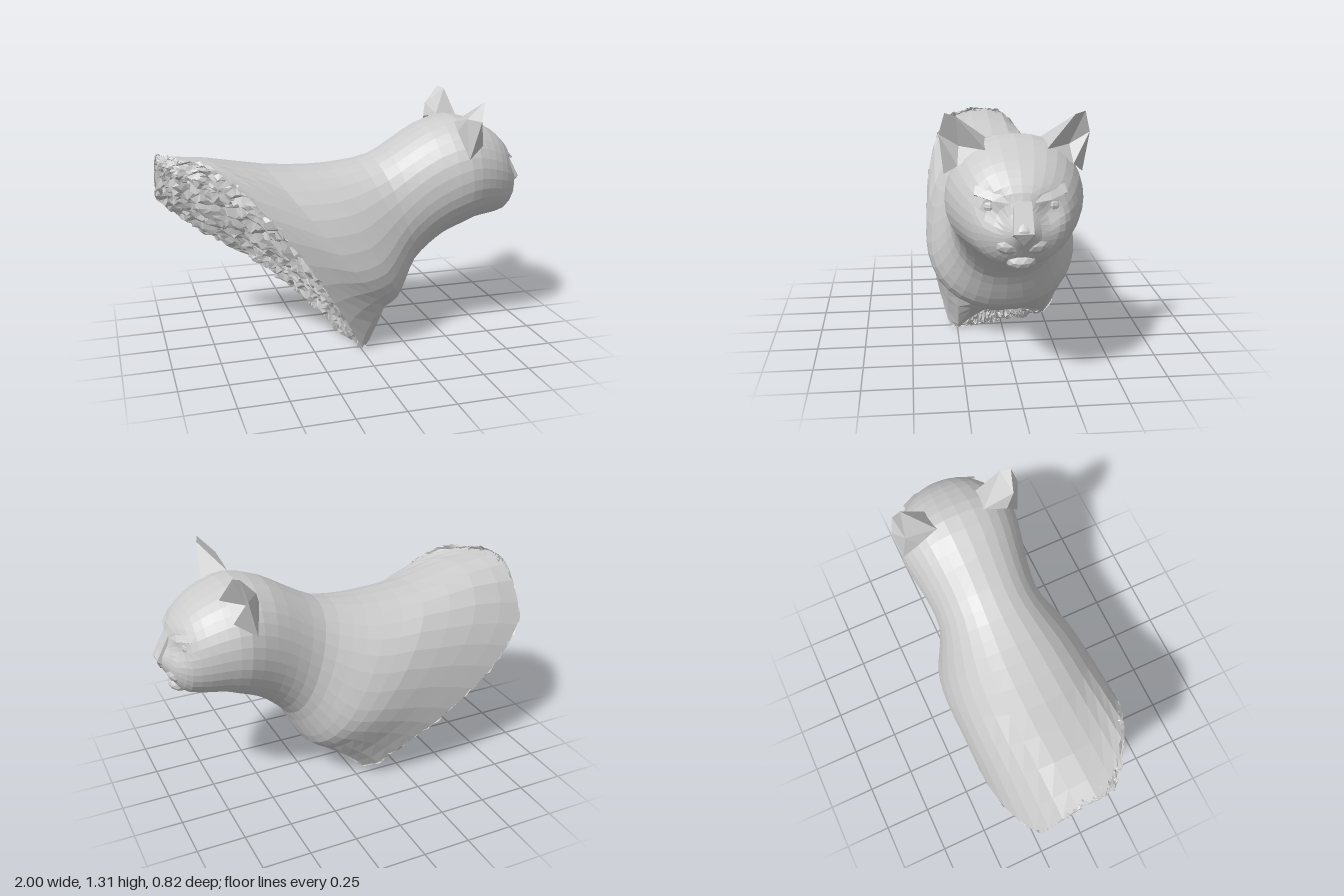
import * as THREE from 'three';

const mat = new THREE.MeshStandardMaterial({ color: 0xcccccc, flatShading: true, side: THREE.DoubleSide });

// Stations from nose to torn edge: top x,y, bottom x,y, half width, level of widest point, tear weight
const stations = [
  [0.998, 0.85, 0.99, 0.81, 0.03, 0.5, 0],
  [0.945, 0.925, 0.95, 0.745, 0.085, 0.6, 0],
  [0.915, 1.0, 0.915, 0.69, 0.17, 0.5, 0],
  [0.87, 1.06, 0.87, 0.65, 0.225, 0.5, 0],
  [0.8, 1.12, 0.78, 0.635, 0.275, 0.5, 0],
  [0.7, 1.17, 0.7, 0.625, 0.31, 0.5, 0],
  [0.58, 1.2, 0.62, 0.595, 0.33, 0.5, 0],
  [0.42, 1.16, 0.52, 0.55, 0.31, 0.52, 0],
  [0.28, 1.08, 0.43, 0.48, 0.29, 0.52, 0],
  [0.13, 1.0, 0.35, 0.4, 0.29, 0.55, 0],
  [-0.03, 0.97, 0.3, 0.3, 0.335, 0.58, 0],
  [-0.2, 0.96, 0.25, 0.21, 0.385, 0.6, 0],
  [-0.45, 0.975, 0.18, 0.16, 0.41, 0.6, 0],
  [-0.75, 1.035, 0.1, 0.12, 0.405, 0.6, 0.45],
  [-1, 1.06, 0, 0.08, 0.4, 0.6, 1],
];

// Seeded value in -1..1
const noise = (i, j, k) => {
  const v = Math.sin(i * 12.99 + j * 78.23 + k * 37.72) * 43758.55;
  return (v - Math.floor(v)) * 2 - 1;
};
const bump = (d, r) => Math.exp(-(d * d) / (r * r));

// Point on the section of a station at angle a (0 is the spine, PI the chest)
function sectionPoint([tx, ty, bx, by, w, tm, tear], a) {
  const c = Math.cos(a), s = Math.sin(a);
  const t = c > 0 ? tm * (1 - c) : tm - (1 - tm) * c;
  const z = w * Math.sign(s) * Math.pow(Math.abs(s), 0.85);
  let x = tx + (bx - tx) * t, y = ty + (by - ty) * t;
  // the tear runs further back on one flank
  const skew = Math.sin(Math.PI * Math.sqrt(t)) * (s > 0 ? 0.17 : -0.21) * Math.min(1, Math.abs(s) * 1.6) * tear * 0.7;
  x += skew;
  y += skew;
  // stumps of the forelegs
  if (t > 0.65) {
    const leg = bump(Math.abs(z) - 0.27, 0.09) * tear;
    x += leg * (s > 0 ? 0.1 : 0.04);
    y -= leg * (s > 0 ? 0.21 : 0.1);
  }
  // eye sockets
  if (x > 0.75) x -= 0.035 * bump(Math.abs(z) - 0.13, 0.06) * bump(y - 0.92, 0.06);
  return [Math.max(x, -1), Math.max(y, 0), z];
}

// Skin a grid of points
function gridGeometry(rows) {
  const n = rows[0].length, index = [];
  for (let r = 0; r < rows.length - 1; r++) {
    for (let i = 0; i < n - 1; i++) {
      const a = r * n + i, b = a + n;
      index.push(a, b, a + 1, b, b + 1, a + 1);
    }
  }
  const g = new THREE.BufferGeometry();
  g.setAttribute('position', new THREE.Float32BufferAttribute(rows.flat(2), 3));
  g.setIndex(index);
  g.computeVertexNormals();
  return g;
}

function polyGeometry(points, faces) {
  const g = new THREE.BufferGeometry();
  g.setAttribute('position', new THREE.Float32BufferAttribute(points.flat(), 3));
  g.setIndex(faces.flat());
  g.computeVertexNormals();
  return g;
}

export function createModel() {
  const model = new THREE.Group();
  const add = (name, geometry, parent = model) => {
    const mesh = new THREE.Mesh(geometry, mat);
    mesh.name = name;
    parent.add(mesh);
    return mesh;
  };

  // Head, neck and torso in one skin, with a smoothed ring between stations
  const rings = [];
  stations.forEach((s, i) => {
    rings.push(s);
    const n = stations[i + 1];
    if (!n) return;
    const p = stations[i - 1] || s, q = stations[i + 2] || n;
    rings.push(s.map((v, k) => (k === 6 ? (v + n[k]) / 2 : (9 * (v + n[k]) - p[k] - q[k]) / 16)));
  });
  const sides = 32;
  const rows = rings.map(st => Array.from({ length: sides + 1 }, (_, i) => sectionPoint(st, (i / sides) * Math.PI * 2)));
  rows.unshift(rows[0].map(() => [1, 0.835, 0]));
  add('body', gridGeometry(rows));

  // Rough torn surface spanning the two flanks
  const last = stations[stations.length - 1], across = 44, along = 72, torn = [];
  for (let s = 0; s <= across; s++) {
    const row = [];
    for (let i = 0; i <= along; i++) {
      const a = (i / along) * Math.PI;
      const l = sectionPoint(last, a), r = sectionPoint(last, -a), f = s / across;
      const amp = (s === 0 || s === across ? 0.008 : 0.018) * Math.min(1, i / 5, (along - i) / 5);
      const wave = 0.018 * Math.sin(f * 9 + i * 0.25) * Math.sin(Math.PI * f) * Math.sin(a);
      const push = amp * noise(s, i, 1) + wave;
      row.push([
        Math.max(-1, l[0] + (r[0] - l[0]) * f + push + amp * 0.5 * noise(s, i, 2)),
        Math.max(0, l[1] + (r[1] - l[1]) * f + push + amp * 0.5 * noise(s, i, 3)),
        l[2] + (r[2] - l[2]) * f + amp * 0.4 * noise(s, i, 4),
      ]);
    }
    torn.push(row);
  }
  add('tornSurface', gridGeometry(torn));

  // Paired features
  for (const side of [1, -1]) {
    const name = side > 0 ? 'left' : 'right';
    const m = (x, y, z) => [x, y, z * side];

    // Cupped ear: tip, inner rim, outer rim, back and hollow
    add(name + 'Ear', polyGeometry([
      m(0.645, 1.312, 0.325), m(0.665, 1.3, 0.275), m(0.695, 1.145, 0.14),
      m(0.62, 1.21, 0.352), m(0.57, 1.01, 0.33), m(0.53, 1.15, 0.25),
      m(0.6, 1.15, 0.26), m(0.67, 1.07, 0.27), m(0.56, 1.18, 0.13), m(0.56, 1.22, 0.3),
    ], [
      [0, 1, 9], [1, 8, 9], [1, 2, 8], [8, 5, 9], [0, 9, 3], [3, 9, 4], [9, 5, 4],
      [0, 6, 1], [1, 6, 2], [0, 3, 6], [3, 7, 6], [3, 4, 7], [2, 6, 7],
    ].map(f => (side > 0 ? f : [f[0], f[2], f[1]]))));

    // Eye and its slanted upper lid
    const eye = add(name + 'Eye', new THREE.SphereGeometry(0.038, 8, 6));
    eye.position.set(0.868, 0.93, 0.14 * side);
    eye.scale.set(0.7, 0.8, 1);
    add(name + 'Brow', polyGeometry([
      m(0.925, 0.955, 0.06), m(0.915, 0.965, 0.13), m(0.865, 0.985, 0.21),
      m(0.9, 1.0, 0.06), m(0.875, 1.01, 0.13), m(0.835, 1.02, 0.2),
      m(0.87, 0.945, 0.07), m(0.865, 0.95, 0.13), m(0.83, 0.96, 0.2),
    ], [[0, 1, 3], [1, 4, 3], [1, 2, 4], [2, 5, 4], [0, 6, 1], [1, 6, 7], [1, 7, 2], [2, 7, 8]]));

    // Whisker pad
    const pad = add(name + 'WhiskerPad', new THREE.IcosahedronGeometry(0.065, 1));
    pad.position.set(0.905, 0.765, 0.055 * side);
    pad.scale.set(0.85, 0.75, 1.1);
  }

  // Nose pad
  add('nose', polyGeometry([
    [1, 0.835, 0.045], [1, 0.835, -0.045], [0.975, 0.775, 0], [0.94, 0.8, 0.055], [0.94, 0.8, -0.055],
    [0.93, 0.965, 0.04], [0.93, 0.965, -0.04],
  ], [[0, 2, 1], [0, 3, 2], [1, 2, 4], [5, 0, 1], [5, 1, 6], [5, 3, 0], [6, 1, 4]]));

  // Chin
  const chin = add('chin', new THREE.IcosahedronGeometry(0.06, 1));
  chin.position.set(0.885, 0.68, 0);
  chin.scale.set(1, 0.7, 1.2);

  return model;
}
